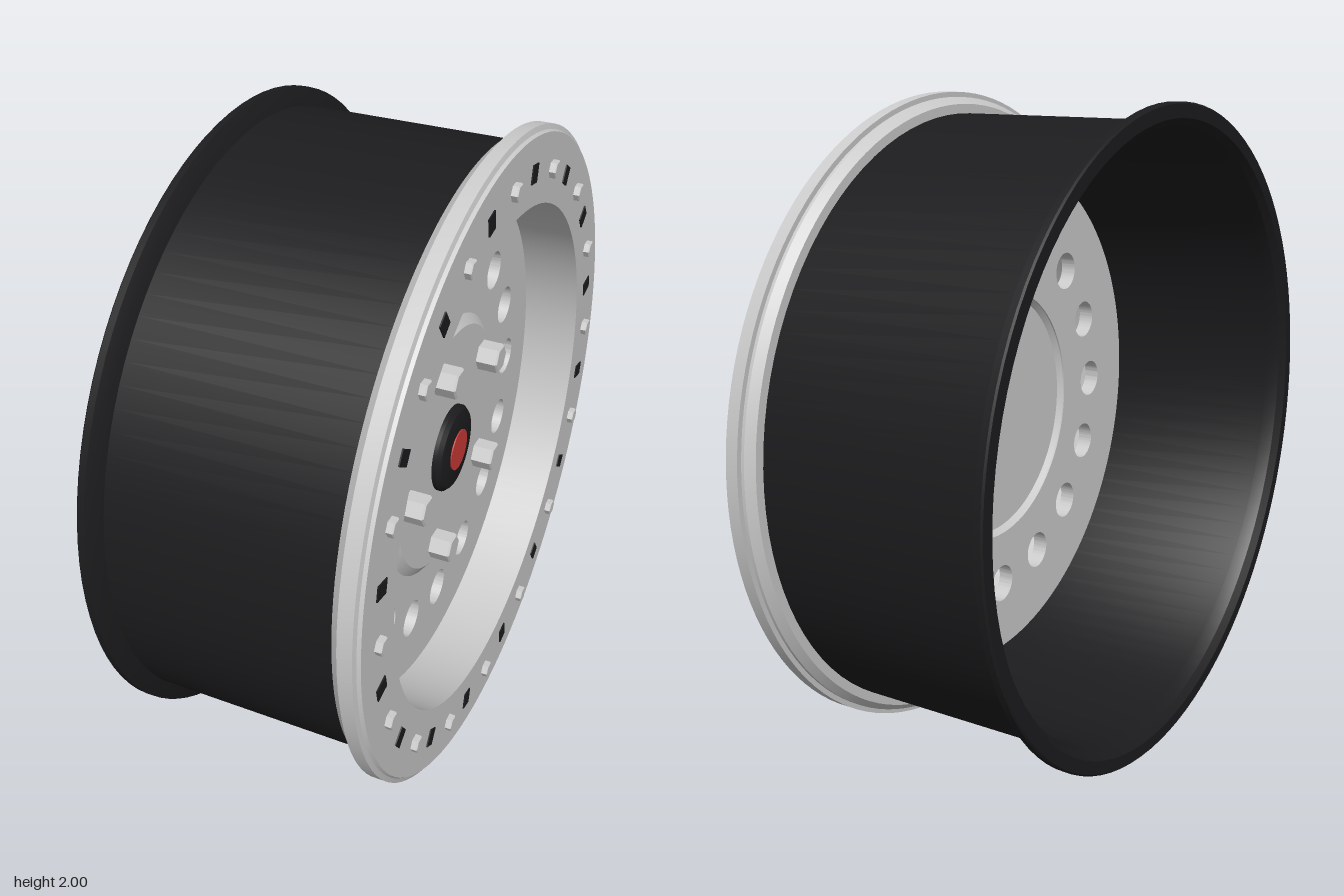
import * as THREE from 'three';
import { toCreasedNormals } from 'three/addons/utils/BufferGeometryUtils.js';

const material = (color) => new THREE.MeshStandardMaterial({ color });
const grey = material(0xcccccc);
const black = material(0x1c1c1e);
const red = material(0xcc3a38);

// Everything is built round the local z axis, then the wheel is turned to face +x.
function add(parent, name, geometry, mat) {
  const mesh = new THREE.Mesh(geometry, mat);
  mesh.name = name;
  parent.add(mesh);
  return mesh;
}

// Revolved part; profile is [radius, z], outer side first with z rising.
function turned(profile, segments = 96) {
  const g = new THREE.LatheGeometry(profile.map(([r, z]) => new THREE.Vector2(r, z)), segments);
  g.rotateX(Math.PI / 2);
  return toCreasedNormals(g.toNonIndexed(), 0.45);
}

// Hexagonal head between two z positions.
function hex(radius, z0, z1) {
  const chamfer = radius * 0.12;
  const g = new THREE.LatheGeometry([
    new THREE.Vector2(0, z0), new THREE.Vector2(radius, z0),
    new THREE.Vector2(radius, z1 - chamfer), new THREE.Vector2(radius - chamfer, z1),
    new THREE.Vector2(0, z1),
  ], 6, Math.PI / 6);
  g.rotateX(Math.PI / 2);
  return toCreasedNormals(g.toNonIndexed(), 0.2);
}

// Copies of one part spaced round a circle.
function around(parent, name, geometry, mat, count, radius, start, turn) {
  const set = new THREE.Group();
  set.name = name + 's';
  for (let i = 0; i < count; i++) {
    const a = start + (i / count) * Math.PI * 2;
    const m = add(set, name, geometry, mat);
    m.position.set(Math.cos(a) * radius, Math.sin(a) * radius, 0);
    if (turn) m.rotation.z = a;
  }
  parent.add(set);
}

export function createModel() {
  const model = new THREE.Group();
  model.name = 'wheelRim';
  const wheel = new THREE.Group();
  wheel.name = 'wheel';
  wheel.rotation.y = Math.PI / 2;
  model.add(wheel);

  // Barrel with a flared inner flange
  add(wheel, 'barrel', turned([
    [0.945, -0.42], [0.985, -0.42], [0.99, -0.415], [0.99, -0.395], [0.965, -0.38],
    [0.937, -0.37], [0.937, 0.32], [0.912, 0.32], [0.912, -0.36], [0.925, -0.40], [0.945, -0.42],
  ]), black);

  // Stepped clamp ring with the deep wall that leads down to the face
  add(wheel, 'clampRing', turned([
    [0.80, 0.17], [0.80, 0.312], [0.965, 0.312], [0.985, 0.335], [0.985, 0.345], [1.0, 0.345],
    [1.0, 0.385], [0.985, 0.39], [0.98, 0.40], [0.777, 0.40], [0.777, 0.17], [0.80, 0.17],
  ], 128), grey);

  // Face disc pierced by sixteen round holes
  const disc = new THREE.Shape().absarc(0, 0, 0.78, 0, Math.PI * 2);
  disc.holes.push(new THREE.Path().absarc(0, 0, 0.4, 0, Math.PI * 2, true));
  for (let i = 0; i < 16; i++) {
    const a = (i * Math.PI) / 8;
    disc.holes.push(new THREE.Path()
      .absarc(Math.cos(a) * 0.575, Math.sin(a) * 0.575, 0.061, 0, Math.PI * 2, true));
  }
  const face = new THREE.ExtrudeGeometry(disc, { depth: 0.05, bevelEnabled: false, curveSegments: 48 });
  face.translate(0, 0, 0.17);
  add(wheel, 'faceDisc', toCreasedNormals(face, 0.45), grey);

  // Raised hub pad, hollowed behind
  add(wheel, 'hubPad', turned([
    [0, 0.19], [0.385, 0.19], [0.405, 0.17], [0.415, 0.17], [0.415, 0.22], [0.385, 0.242], [0, 0.242],
  ]), grey);

  // Centre cap and its coloured badge disc
  add(wheel, 'centreCap', turned([
    [0, 0.235], [0.137, 0.235], [0.137, 0.255], [0.125, 0.268], [0.10, 0.274], [0, 0.274],
  ], 48), black);
  add(wheel, 'capInsert', turned([[0, 0.27], [0.065, 0.27], [0.065, 0.278], [0, 0.278]], 40), red);

  // Lug nuts, ring bolts and the dark slots between them
  around(wheel, 'lugNut', hex(0.047, 0.235, 0.31), grey, 5, 0.32, Math.PI, false);
  around(wheel, 'ringBolt', hex(0.027, 0.39, 0.42), grey, 16, 0.875, 0, false);
  const slot = new THREE.BoxGeometry(0.055, 0.045, 0.03).translate(0, 0, 0.389);
  around(wheel, 'ringSlot', slot, black, 16, 0.875, Math.PI / 16, true);

  // Stand the wheel on the ground
  wheel.position.y = 1;
  return model;
}
